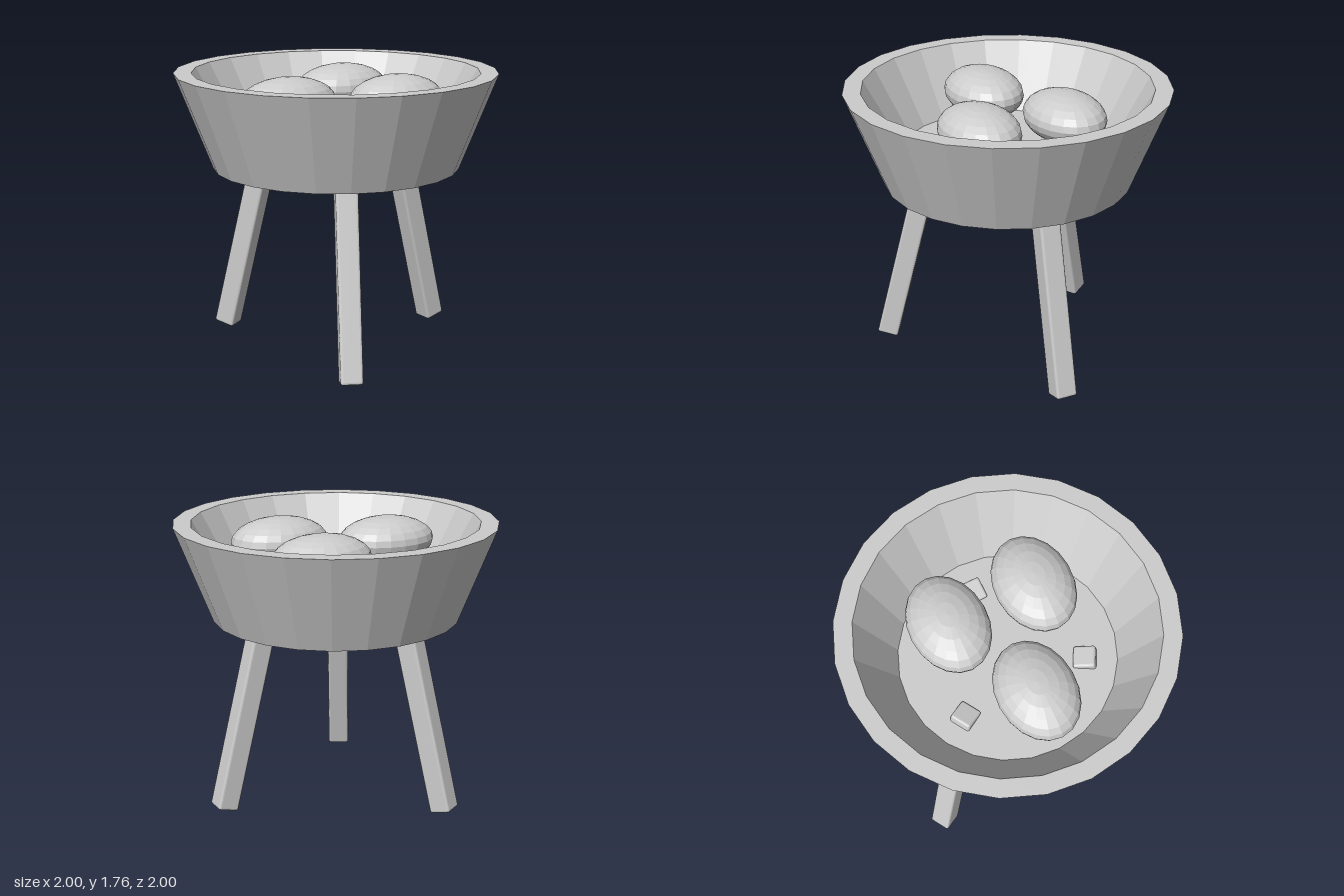
import * as THREE from 'three';
import { RoundedBoxGeometry } from 'three/addons/geometries/RoundedBoxGeometry.js';

const grey = new THREE.MeshStandardMaterial({ color: 0xcccccc });
grey.name = 'plain grey';
grey.flatShading = true;

function add(parent, name, geometry) {
  const mesh = new THREE.Mesh(geometry, grey);
  mesh.name = name;
  parent.add(mesh);
  return mesh;
}

export function createModel() {
  const model = new THREE.Group();
  model.name = 'eggBowlStand';

  // Thick-walled bowl: underside, outer wall, rim, inner wall, floor
  const profile = [
    [0, 1.17], [0.77, 1.17], [1, 1.765], [0.89, 1.765], [0.66, 1.35], [0, 1.35],
  ].map(([r, y]) => new THREE.Vector2(r, y));
  add(model, 'bowl', new THREE.LatheGeometry(profile, 24));

  // Three splayed legs whose tops poke through the bowl floor
  const foot = new THREE.Vector3(0.795, 0.018, 0);
  const top = new THREE.Vector3(0.455, 1.385, 0);
  const legGeometry = new RoundedBoxGeometry(0.135, foot.distanceTo(top), 0.135, 2, 0.015);
  for (let i = 0; i < 3; i++) {
    const legGroup = new THREE.Group();
    legGroup.name = `legGroup${i + 1}`;
    legGroup.rotation.y = (i * Math.PI * 2) / 3;
    const leg = add(legGroup, 'leg', legGeometry);
    leg.position.copy(foot).add(top).multiplyScalar(0.5);
    leg.rotation.z = Math.atan2(foot.x - top.x, top.y - foot.y);
    model.add(legGroup);
  }

  // Three flattened eggs lying in the bowl
  const eggGeometry = new THREE.SphereGeometry(1, 20, 12).scale(0.317, 0.147, 0.237);
  [[0.24, -0.265], [-0.36, 0], [0.24, 0.298]].forEach(([x, z], i) => {
    add(model, `egg${i + 1}`, eggGeometry).position.set(x, 1.61, z);
  });

  return model;
}
